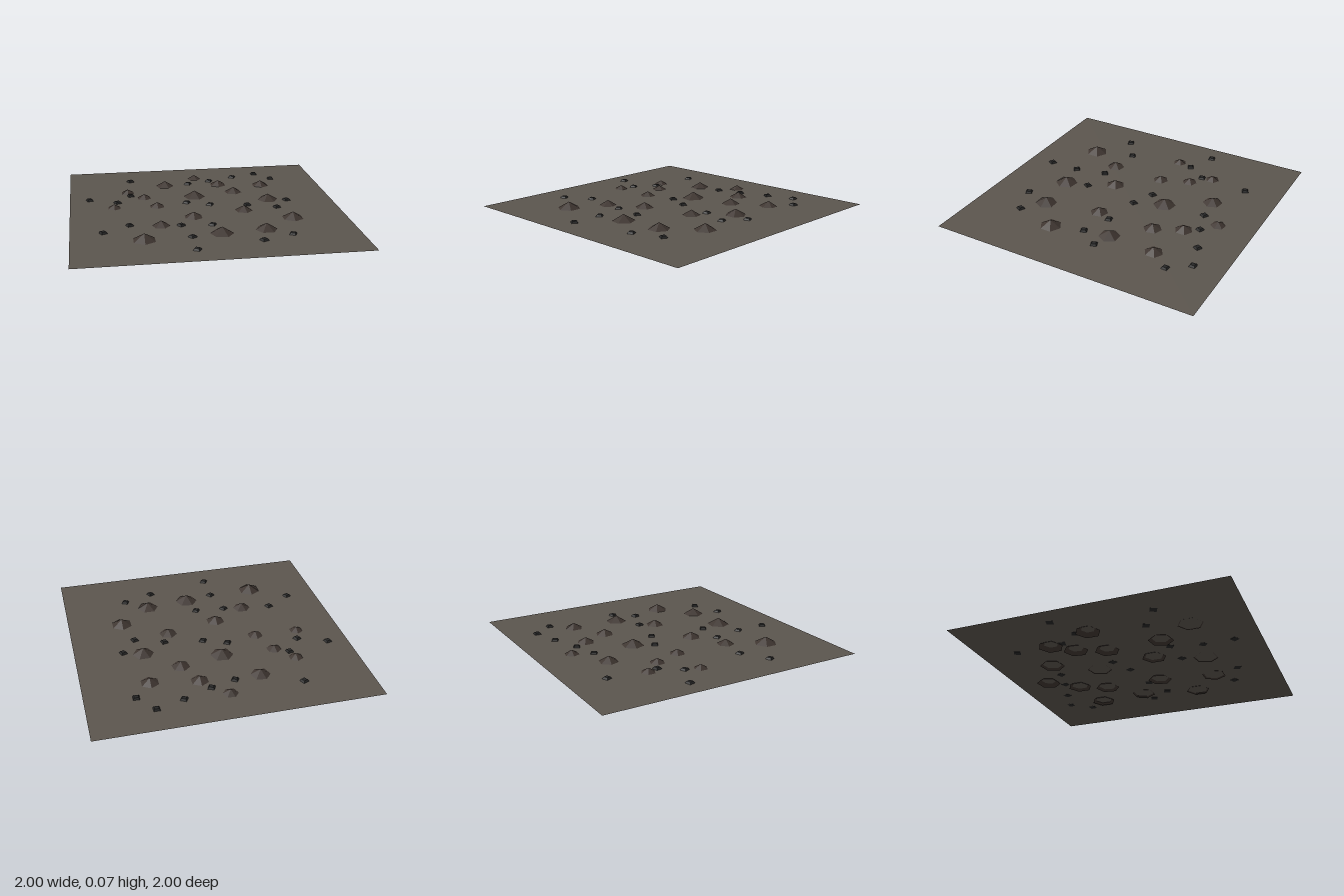
import * as THREE from 'three';

const GROUND_Y = 0.024;
const MOUND_R = 0.092;
const MOUND_H = 0.053;
const SLOPE = MOUND_H / MOUND_R;

// x, z, radius where the mound meets the ground, turn in degrees
const MOUNDS = [
  [0.02, -0.73, 0.055, 22], [-0.24, -0.57, 0.072, 20], [0.19, -0.54, 0.066, 0],
  [0.53, -0.48, 0.068, 0], [-0.55, -0.43, 0.053, 0], [-0.43, -0.29, 0.056, 8],
  [-0.04, -0.27, 0.084, 20], [0.28, -0.34, 0.068, 10], [-0.67, -0.09, 0.051, 0],
  [-0.35, -0.08, 0.058, 4], [0.51, -0.12, 0.078, 30], [0.28, 0.1, 0.067, 12],
  [-0.11, 0.19, 0.07, 0], [-0.36, 0.33, 0.066, 20], [0.6, 0.31, 0.08, 0],
  [-0.5, 0.59, 0.085, 0], [0.04, 0.54, 0.084, 22], [0.36, 0.51, 0.079, 30],
];

// x, z, turn in degrees
const STONES = [
  [-0.51, -0.72, 25], [0.54, -0.78, 0], [0.34, -0.72, -30], [0.13, -0.64, -25],
  [-0.05, -0.59, -30], [0.65, -0.63, -5], [-0.53, -0.35, 12], [-0.85, -0.29, 15],
  [-0.64, -0.2, 25], [-0.12, -0.13, -30], [0.05, -0.06, -30], [0.33, -0.01, 12],
  [0.65, -0.08, 20], [0.54, 0.07, 20], [-0.58, 0.3, 25], [-0.77, 0.42, 25],
  [-0.22, 0.35, 35], [0, 0.37, -30], [-0.17, 0.58, 35], [-0.17, 0.81, -30],
  [0.52, 0.63, -25], [0.3, 0.71, 25],
];

const paint = (color) => new THREE.MeshStandardMaterial({ color, flatShading: true, side: THREE.DoubleSide });

export function createModel() {
  const model = new THREE.Group();

  const add = (parent, name, geometry, material, x, y, z, turn = 0) => {
    const mesh = new THREE.Mesh(geometry, material);
    mesh.name = name;
    mesh.position.set(x, y, z);
    mesh.rotation.y = THREE.MathUtils.degToRad(turn);
    parent.add(mesh);
  };

  // Flat square of ground
  const groundGeo = new THREE.PlaneGeometry(2, 2).rotateX(-Math.PI / 2);
  add(model, 'ground', groundGeo, paint(0x5b554e), 0, GROUND_Y, 0);

  // Equal six-sided hollow mounds, sunk to different depths
  const mounds = new THREE.Group();
  mounds.name = 'mounds';
  const moundGeo = new THREE.ConeGeometry(MOUND_R, MOUND_H, 6, 1, true);
  const moundMat = paint(0x3e3530);
  for (const [x, z, r, turn] of MOUNDS) {
    const apex = GROUND_Y + r * SLOPE;
    add(mounds, 'mound', moundGeo, moundMat, x, apex - MOUND_H / 2, z, turn);
  }

  // Small square stones with sloping sides
  const stones = new THREE.Group();
  stones.name = 'stones';
  const stoneGeo = new THREE.CylinderGeometry(0.021, 0.035, 0.016, 4).rotateY(Math.PI / 4);
  const stoneMat = paint(0x262626);
  for (const [x, z, turn] of STONES) add(stones, 'stone', stoneGeo, stoneMat, x, 0.03, z, turn);

  model.add(mounds, stones);
  return model;
}
